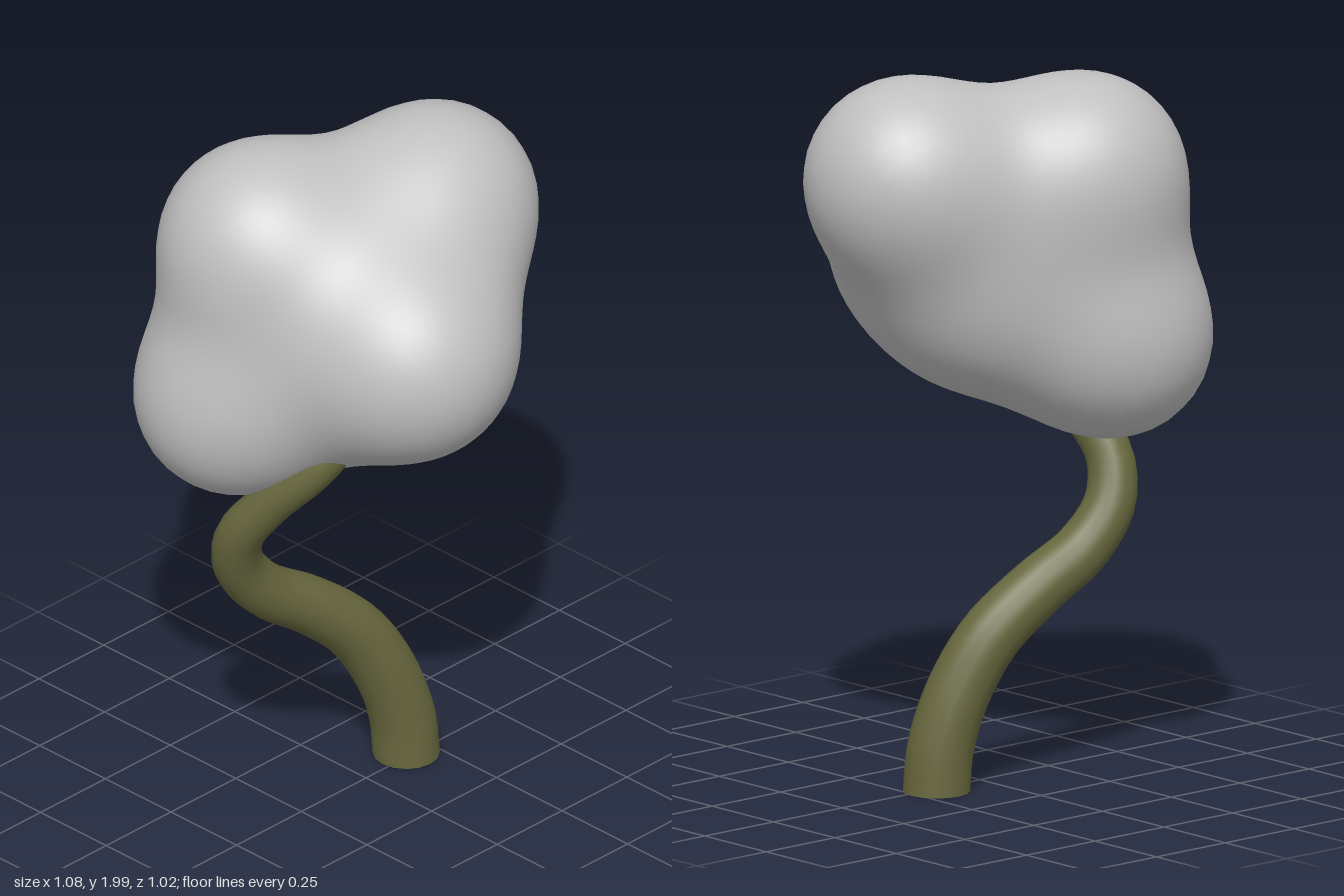
import * as THREE from 'three';
import { mergeVertices } from 'three/addons/utils/BufferGeometryUtils.js';

const V = (x, y, z) => new THREE.Vector3(x, y, z);

// Lobes of the crown: centre and radius, blended into one soft surface
const LOBES = [
  [V(0.28, 1.73, 0.01), 0.24],     // upper left
  [V(-0.21, 1.72, -0.22), 0.23],   // upper right, back
  [V(-0.06, 1.45, 0.25), 0.235],   // front
  [V(-0.28, 1.22, -0.24), 0.245],  // lower right, back
  [V(0.06, 1.36, -0.03), 0.165],   // underside swell
];
const SHARPNESS = 7;
const CENTRE = V(-0.06, 1.5, -0.05);

function isInside(p) {
  let sum = 0;
  for (const [c, r] of LOBES) sum += Math.exp(SHARPNESS * (r - p.distanceTo(c)));
  return sum > 1;
}

// Push every vertex of a sphere out to the blended surface
function crownGeometry() {
  let geo = new THREE.IcosahedronGeometry(1, 14);
  geo.deleteAttribute('normal');
  geo.deleteAttribute('uv');
  geo = mergeVertices(geo);
  const pos = geo.attributes.position;
  const dir = V(0, 0, 0), p = V(0, 0, 0);
  for (let i = 0; i < pos.count; i++) {
    dir.fromBufferAttribute(pos, i).normalize();
    let near = 0, far = 1.2;
    for (let k = 0; k < 24; k++) {
      const mid = (near + far) / 2;
      p.copy(CENTRE).addScaledVector(dir, mid);
      if (isInside(p)) near = mid; else far = mid;
    }
    pos.setXYZ(i, p.x, p.y, p.z);
  }
  geo.computeVertexNormals();
  return geo;
}

// Curved tube, narrowing towards the top
function stemGeometry() {
  const curve = new THREE.CatmullRomCurve3([
    V(0.175, 0, -0.02), V(0.165, 0.12, -0.025), V(0.12, 0.27, -0.045),
    V(0.035, 0.42, -0.08), V(-0.1, 0.54, -0.12), V(-0.24, 0.635, -0.15),
    V(-0.33, 0.75, -0.16), V(-0.36, 0.87, -0.125), V(-0.33, 0.99, -0.04),
    V(-0.27, 1.12, 0.08), V(-0.2, 1.24, 0.15),
  ]);
  const steps = 40, sides = 16;
  const geo = new THREE.TubeGeometry(curve, steps, 1, sides);
  const pos = geo.attributes.position;
  const p = V(0, 0, 0);
  for (let i = 0; i <= steps; i++) {
    const t = i / steps;
    const c = curve.getPointAt(t);
    const radius = 0.092 - 0.012 * t - 0.037 * t * t;
    for (let j = 0; j <= sides; j++) {
      const n = i * (sides + 1) + j;
      p.fromBufferAttribute(pos, n).sub(c).multiplyScalar(radius).add(c);
      pos.setXYZ(n, p.x, i === 0 ? 0 : p.y, p.z);
    }
  }
  return geo;
}

export function createModel() {
  const grey = new THREE.MeshStandardMaterial({ color: 0xc0c0c0 });
  grey.name = 'pale grey';
  const olive = new THREE.MeshStandardMaterial({ color: 0x68683f });
  olive.name = 'olive';

  const group = new THREE.Group();
  group.name = 'tree';
  const add = (name, geo, mat) => {
    const mesh = new THREE.Mesh(geo, mat);
    mesh.name = name;
    group.add(mesh);
    return mesh;
  };

  add('crown', crownGeometry(), grey);
  add('trunk', stemGeometry(), olive);

  // Flat underside of the trunk
  const base = add('trunkBase', new THREE.CircleGeometry(0.092, 16), olive);
  base.rotation.x = Math.PI / 2;
  base.position.set(0.175, 0, -0.02);

  return group;
}
